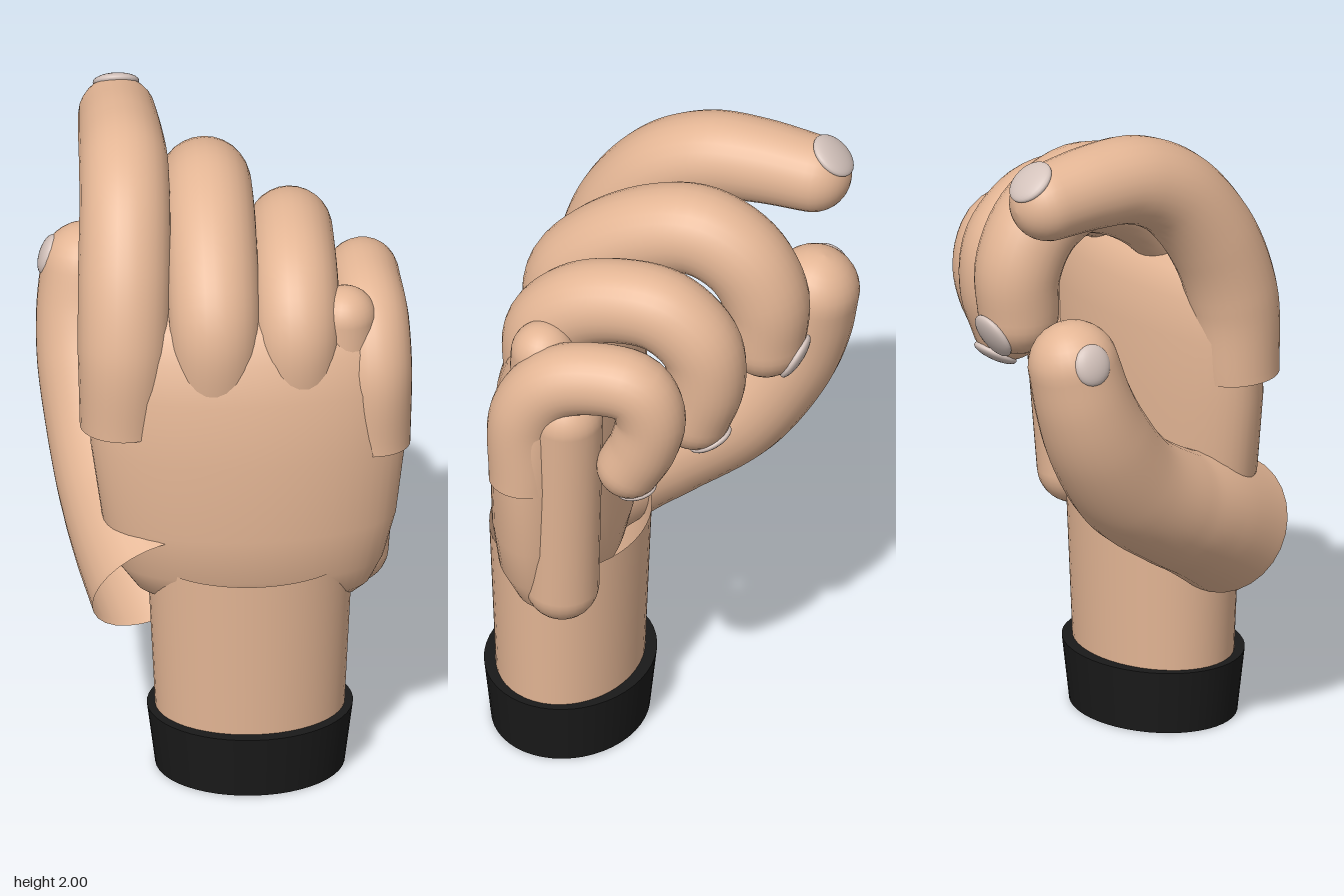
import * as THREE from 'three';

const V = (a) => new THREE.Vector3(...a);

// Smooth skin through closed rings of points; optional end caps
function loft(rings, capStart, capEnd) {
  const n = rings[0].length, pos = [], idx = [];
  rings.forEach((r) => r.forEach((p) => pos.push(p.x, p.y, p.z)));
  for (let i = 0; i < rings.length - 1; i++) {
    for (let j = 0; j < n; j++) {
      const k = (j + 1) % n;
      const a = i * n + j, b = i * n + k, c = a + n, d = b + n;
      idx.push(a, b, c, b, d, c);
    }
  }
  const cap = (row, flip) => {
    const mid = new THREE.Vector3();
    rings[row].forEach((p) => mid.addScaledVector(p, 1 / n));
    const m = pos.length / 3;
    pos.push(mid.x, mid.y, mid.z);
    for (let j = 0; j < n; j++) {
      const a = row * n + j, b = row * n + (j + 1) % n;
      if (flip) idx.push(m, b, a); else idx.push(m, a, b);
    }
  };
  if (capStart) cap(0, true);
  if (capEnd) cap(rings.length - 1, false);
  const g = new THREE.BufferGeometry();
  g.setAttribute('position', new THREE.Float32BufferAttribute(pos, 3));
  g.setIndex(idx);
  g.computeVertexNormals();
  return g;
}

// Digit: tapering tube along points [x, y, z, radius], open base, round tip
function digitGeometry(points) {
  const sides = 28, steps = 44;
  const curve = new THREE.CatmullRomCurve3(points.map((p) => V(p.slice(0, 3))), false, 'centripetal');
  const frames = curve.computeFrenetFrames(steps, false);
  const rings = [];
  const ring = (c, N, B, r) => Array.from({ length: sides }, (_, j) => {
    const a = (j / sides) * Math.PI * 2;
    return c.clone().addScaledVector(N, r * Math.cos(a)).addScaledVector(B, r * Math.sin(a));
  });
  for (let i = 0; i <= steps; i++) {
    const u = i / steps;
    const f = curve.getUtoTmapping(u) * (points.length - 1);
    const k = Math.min(Math.floor(f), points.length - 2);
    const r = THREE.MathUtils.lerp(points[k][3], points[k + 1][3], f - k);
    rings.push(ring(curve.getPointAt(u), frames.normals[i], frames.binormals[i], r));
  }
  const end = curve.getPointAt(1), tip = points[points.length - 1][3];
  for (let i = 1; i <= 8; i++) {
    const a = (i / 8) * Math.PI * 0.49;
    const c = end.clone().addScaledVector(frames.tangents[steps], tip * Math.sin(a));
    rings.push(ring(c, frames.normals[steps], frames.binormals[steps], tip * Math.cos(a)));
  }
  return loft(rings, false, true);
}

// Palm: oval cross-sections [y, xMin, xMax, zMin, zMax]
function palmGeometry() {
  const sections = [
    [0.56, -0.14, 0.33, 0.16, 0.33], [0.575, -0.23, 0.385, 0.14, 0.365],
    [0.61, -0.28, 0.42, 0.115, 0.405], [0.7, -0.34, 0.46, 0.095, 0.455],
    [0.85, -0.385, 0.5, 0.08, 0.47], [1.1, -0.42, 0.53, 0.075, 0.472],
    [1.3, -0.43, 0.535, 0.075, 0.45], [1.42, -0.4, 0.51, 0.09, 0.412],
    [1.5, -0.35, 0.46, 0.12, 0.365], [1.55, -0.27, 0.38, 0.18, 0.31],
  ];
  const sides = 56;
  const rings = sections.map(([y, x0, x1, z0, z1]) => Array.from({ length: sides }, (_, j) => {
    const a = (j / sides) * Math.PI * 2;
    return new THREE.Vector3(
      (x0 + x1) / 2 + ((x1 - x0) / 2) * Math.sin(a), y,
      (z0 + z1) / 2 + ((z1 - z0) / 2) * Math.cos(a));
  }));
  return loft(rings, true, true);
}

export function createModel() {
  const skin = new THREE.MeshStandardMaterial({ color: 0xe4b695, side: THREE.DoubleSide });
  skin.name = 'skin';
  const nailMat = new THREE.MeshStandardMaterial({ color: 0xd4c3bc });
  nailMat.name = 'nail';
  const black = new THREE.MeshStandardMaterial({ color: 0x1a1a1a });
  black.name = 'black';

  const hand = new THREE.Group();
  hand.name = 'hand';
  const add = (name, geometry, material) => {
    const m = new THREE.Mesh(geometry, material);
    m.name = name;
    hand.add(m);
    return m;
  };

  // Wrist and cuff are oval, slightly flaring cylinders; the wrist is an open sleeve
  const oval = (name, y0, y1, depth, open, mat) => {
    const g = new THREE.CylinderGeometry(0.31, 0.285, y1 - y0, 48, 1, open);
    g.scale(1, 1, depth);
    add(name, g, mat).position.set(0.06, (y0 + y1) / 2, 0.265);
  };
  oval('cuff', 0, 0.2, 0.823, false, black);
  oval('wrist', 0.19, 0.715, 0.765, true, skin);
  add('palm', palmGeometry(), skin);

  // Fleshy pads: a capsule between two points
  const pad = (name, from, to, radius) => {
    const a = V(from), b = V(to), dir = b.clone().sub(a);
    const m = add(name, new THREE.CapsuleGeometry(radius, dir.length(), 10, 28), skin);
    m.position.copy(a).add(b).multiplyScalar(0.5);
    m.quaternion.setFromUnitVectors(new THREE.Vector3(0, 1, 0), dir.normalize());
  };
  pad('heelPad', [0.37, 0.68, 0.195], [0.42, 1.33, 0.168], 0.112);
  pad('knuckle', [0.335, 1.2, 0.28], [0.345, 1.505, 0.265], 0.095);

  // Digits: path [x, y, z, radius], the direction each nail faces and its size
  const digits = {
    indexFinger: {
      path: [[-0.33, 1.17, 0.298, 0.124], [-0.322, 1.42, 0.283, 0.138], [-0.315, 1.62, 0.21, 0.14],
        [-0.305, 1.79, 0.075, 0.137], [-0.3, 1.862, -0.07, 0.135], [-0.3, 1.872, -0.22, 0.128],
        [-0.3, 1.86, -0.385, 0.118]],
      nail: [0, 0.77, -0.64], size: 1.1,
    },
    middleFinger: {
      path: [[-0.05, 1.25, 0.29, 0.135], [-0.05, 1.5, 0.3, 0.138], [-0.05, 1.63, 0.2, 0.14],
        [-0.05, 1.73, 0.04, 0.14], [-0.05, 1.76, -0.11, 0.138], [-0.05, 1.69, -0.245, 0.136],
        [-0.05, 1.56, -0.315, 0.132], [-0.05, 1.41, -0.315, 0.122]],
      nail: [0, -0.48, -0.88], size: 1.1,
    },
    ringFinger: {
      path: [[0.2, 1.25, 0.29, 0.125], [0.2, 1.48, 0.295, 0.13], [0.2, 1.59, 0.2, 0.13],
        [0.2, 1.635, 0.06, 0.128], [0.2, 1.625, -0.075, 0.128], [0.2, 1.53, -0.185, 0.125],
        [0.2, 1.4, -0.205, 0.12], [0.2, 1.27, -0.17, 0.112]],
      nail: [0, -0.86, -0.5], size: 1.1,
    },
    littleFinger: {
      path: [[0.435, 1.09, 0.295, 0.106], [0.435, 1.34, 0.285, 0.112], [0.43, 1.46, 0.2, 0.112],
        [0.42, 1.495, 0.07, 0.11], [0.415, 1.48, -0.05, 0.109], [0.41, 1.39, -0.095, 0.107],
        [0.41, 1.28, -0.075, 0.104], [0.41, 1.19, -0.03, 0.1]],
      nail: [0, -0.96, -0.26], size: 1.05,
    },
    thumb: {
      path: [[-0.22, 0.645, 0.33, 0.213], [-0.275, 0.725, 0.19, 0.197], [-0.318, 0.795, 0.05, 0.18],
        [-0.355, 0.92, -0.13, 0.172], [-0.39, 1.1, -0.265, 0.16], [-0.4, 1.23, -0.325, 0.148],
        [-0.395, 1.36, -0.36, 0.138]],
      nail: [-0.87, 0.28, -0.1], size: 0.8,
    },
  };
  for (const [name, { path, nail, size }] of Object.entries(digits)) {
    add(name, digitGeometry(path), skin);
    const last = path[path.length - 1], r = last[3];
    const dir = V(nail).normalize();
    const plate = new THREE.SphereGeometry(1, 24, 16);
    plate.scale(r * 0.54 * size, r * 0.58 * size, r * 0.2);
    const m = add(name + 'Nail', plate, nailMat);
    m.position.copy(V(last.slice(0, 3))).addScaledVector(dir, r * 0.87);
    m.lookAt(m.position.clone().add(dir));
  }
  return hand;
}
